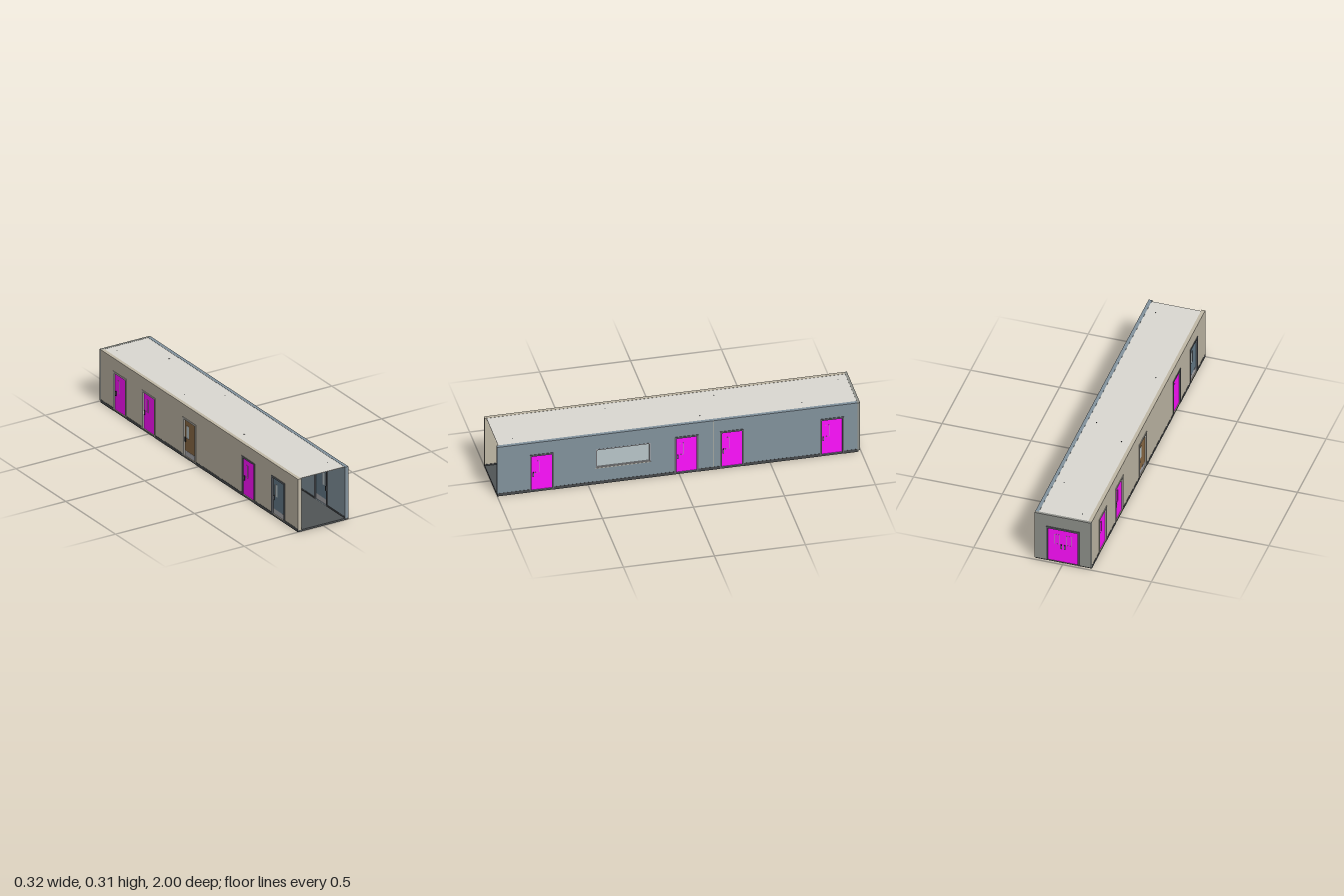
import * as THREE from 'three';

const COLORS = {
  wallBlue: 0x82929c, wallBeige: 0xc0b8a6, wallGrey: 0x8f918b, ceiling: 0xd9d7d1,
  floor: 0x505456, base: 0x46494b, frameDark: 0x606469, framePale: 0xb4b2aa,
  magenta: 0xff10ff, blue: 0x647a88, wood: 0x8a6a45, glass: 0xb9c6c9,
  steel: 0xa9a9ad, black: 0x222426, white: 0xe8e8e4,
};
const materials = {};
function mat(name) {
  materials[name] ??= new THREE.MeshStandardMaterial({ color: COLORS[name] });
  return materials[name];
}

// Box given by its limits along each axis
function box(parent, name, color, x0, x1, y0, y1, z0, z1) {
  const mesh = new THREE.Mesh(new THREE.BoxGeometry(x1 - x0, y1 - y0, z1 - z0), mat(color));
  mesh.position.set((x0 + x1) / 2, (y0 + y1) / 2, (z0 + z1) / 2);
  mesh.name = name;
  parent.add(mesh);
  return mesh;
}

// Four bars around a rectangle; the lower bar is optional
function surround(parent, name, color, x0, x1, y0, y1, t, z0, z1, sill = true) {
  box(parent, name, color, x0 - t, x0, y0, y1, z0, z1);
  box(parent, name, color, x1, x1 + t, y0, y1, z0, z1);
  box(parent, name, color, x0 - t, x1 + t, y1, y1 + t, z0, z1);
  if (sill) box(parent, name, color, x0 - t, x1 + t, y0 - t, y0, z0, z1);
}

// Upright panel with rectangular holes [u0, u1, y0, y1], extruded along +z
function panel(name, color, u0, u1, holes, depth) {
  const rect = (P, a, b, c, d) => {
    const p = new P();
    p.moveTo(a, c); p.lineTo(b, c); p.lineTo(b, d); p.lineTo(a, d); p.closePath();
    return p;
  };
  const shape = rect(THREE.Shape, u0, u1, 0.01, 0.31);
  holes.forEach((h) => shape.holes.push(rect(THREE.Path, ...h)));
  const mesh = new THREE.Mesh(new THREE.ExtrudeGeometry(shape, { depth, bevelEnabled: false }), mat(color));
  mesh.name = name;
  return mesh;
}

// One leaf: outer and inner skins, vision panel, kick plate, handles (outside is +z)
function leaf(parent, x0, x1, outer, inner, side, vision, handleY) {
  box(parent, 'doorLeafOuter', outer, x0, x1, 0.011, 0.225, -0.010, -0.005);
  box(parent, 'doorLeafInner', inner, x0, x1, 0.011, 0.225, -0.015, -0.010);
  const [v0, v1, vy0, vy1] = vision;
  box(parent, 'visionPanelInner', 'glass', v0, v1, vy0, vy1, -0.0155, -0.0145);
  if (outer !== 'magenta') box(parent, 'visionPanelOuter', 'glass', v0, v1, vy0, vy1, -0.0055, -0.0045);
  surround(parent, 'visionBead', 'steel', v0, v1, vy0, vy1, 0.0012, -0.016, -0.004);
  box(parent, 'kickPlateInner', 'steel', x0 + 0.002, x1 - 0.002, 0.012, 0.042, -0.0155, -0.0145);
  if (outer !== 'magenta') box(parent, 'kickPlateOuter', 'steel', x0 + 0.002, x1 - 0.002, 0.012, 0.042, -0.0055, -0.0045);
  const hx = side < 0 ? x0 + 0.009 : x1 - 0.009;
  for (const [a, b] of [[-0.0045, -0.001], [-0.019, -0.0155]]) {
    box(parent, 'handlePlate', 'black', hx - 0.004, hx + 0.004, handleY - 0.014, handleY + 0.014, a, b);
    box(parent, 'handleGrip', 'steel', hx - 0.0012, hx + 0.0012, handleY - 0.009, handleY + 0.009, a - 0.001, b + 0.001);
  }
}

function singleDoor(outer, inner, frame) {
  const g = new THREE.Group();
  g.name = 'door';
  surround(g, 'doorFrame', frame, -0.056, 0.056, 0.01, 0.225, 0.010, -0.022, 0.003, false);
  leaf(g, -0.056, 0.056, outer, inner, -1, [-0.036, -0.014, 0.12, 0.19], 0.108);
  box(g, 'doorCloser', 'steel', 0.0, 0.035, 0.214, 0.222, -0.022, -0.015);
  return g;
}

function doubleDoor() {
  const g = new THREE.Group();
  g.name = 'doubleDoor';
  surround(g, 'doorFrame', 'frameDark', -0.084, 0.084, 0.01, 0.225, 0.010, -0.018, 0.005, false);
  leaf(g, -0.084, -0.0008, 'magenta', 'blue', 1, [-0.046, -0.019, 0.126, 0.187], 0.111);
  leaf(g, 0.0008, 0.084, 'magenta', 'blue', -1, [0.019, 0.046, 0.126, 0.187], 0.111);
  box(g, 'doorCloser', 'frameDark', 0.04, 0.071, 0.231, 0.237, -0.026, -0.018);
  return g;
}

// Side wall with its doors, skirting and outer base strip; s is +1 or -1 along x
function sideWall(s, color, doors, windows) {
  const g = new THREE.Group();
  g.name = s > 0 ? 'leftWall' : 'rightWall';
  const outer = 0.159, z0 = -0.98, z1 = 1;
  const holes = doors.map((d) => [d.z - 0.058, d.z + 0.058, 0.011, 0.227]).concat(windows);
  const wall = panel('wallPanel', color, z0, z1, holes, 0.02);
  wall.rotation.y = -Math.PI / 2;
  wall.position.x = s > 0 ? outer : -outer + 0.02;
  g.add(wall);
  for (const d of doors) {
    const door = singleDoor(d.outer, d.inner, d.frame);
    door.rotation.y = s * Math.PI / 2;
    door.position.set(s * outer, 0, d.z);
    g.add(door);
  }
  // strips run between the doors
  const stops = [z0, ...doors.map((d) => d.z).sort((a, b) => a - b).flatMap((z) => [z - 0.066, z + 0.066]), z1];
  for (let i = 0; i < stops.length; i += 2) {
    const strip = (name, a, b) => box(g, name, 'base', Math.min(s * a, s * b), Math.max(s * a, s * b), 0.0, 0.018, stops[i], stops[i + 1]);
    strip('skirting', outer - 0.022, outer - 0.019);
    strip('baseStrip', outer - 0.001, outer + 0.001);
  }
  return g;
}

export function createModel() {
  const model = new THREE.Group();
  model.name = 'corridor';

  // Floor and ceiling
  box(model, 'floor', 'floor', -0.159, 0.159, 0, 0.01, -0.985, 1);
  box(model, 'ceiling', 'ceiling', -0.139, 0.139, 0.306, 0.309, -0.98, 0.99);
  for (let i = 0; i < 5; i++) {
    const z = -0.8 + i * 0.4;
    box(model, 'ceilingLight', 'white', -0.029, 0.029, 0.304, 0.3065, z - 0.06, z + 0.06);
  }
  // Ceiling detectors
  const spots = [[-0.09, -0.93], [0.09, -0.69], [-0.09, -0.25], [0.09, -0.13], [-0.09, 0.35], [0.09, 0.9]];
  const domeGeo = new THREE.SphereGeometry(0.007, 16, 8, 0, Math.PI * 2, Math.PI / 2, Math.PI / 2);
  const stemGeo = new THREE.CylinderGeometry(0.003, 0.003, 0.004, 12);
  for (const [x, z] of spots) {
    const dome = new THREE.Mesh(domeGeo, mat('black'));
    dome.name = 'detectorDome';
    dome.position.set(x, 0.307, z);
    const stem = new THREE.Mesh(stemGeo, mat('black'));
    stem.name = 'detectorStem';
    stem.position.set(x, 0.308, z);
    model.add(dome, stem);
  }

  // Side walls
  const plain = { outer: 'magenta', inner: 'blue', frame: 'frameDark' };
  const pale = { outer: 'magenta', inner: 'wood', frame: 'framePale' };
  model.add(sideWall(1, 'wallBlue', [0.755, -0.04, -0.29, -0.84].map((z) => ({ z, ...plain })), [[0.16, 0.455, 0.103, 0.218]]));
  model.add(sideWall(-1, 'wallBeige', [
    { z: -0.79, ...pale }, { z: -0.5, ...pale },
    { z: -0.09, outer: 'wood', inner: 'wood', frame: 'framePale' },
    { z: 0.5, ...plain },
    { z: 0.8, outer: 'blue', inner: 'blue', frame: 'frameDark' },
  ], []));
  box(model, 'wallJoint', 'wallBeige', 0.158, 0.1595, 0.018, 0.31, -0.192, -0.188);

  // Window in the left wall
  box(model, 'windowGlass', 'glass', 0.147, 0.151, 0.103, 0.218, 0.16, 0.455);
  const frame = new THREE.Group();
  frame.name = 'windowFrame';
  surround(frame, 'windowFrameBar', 'steel', -0.1435, 0.1435, 0.107, 0.214, 0.005, -0.021, 0.001);
  box(frame, 'windowSill', 'framePale', -0.152, 0.152, 0.099, 0.104, -0.024, 0.003);
  frame.rotation.y = Math.PI / 2;
  frame.position.set(0.159, 0, 0.3075);
  model.add(frame);

  // Back wall with double door
  const back = panel('backWall', 'wallGrey', -0.159, 0.159, [[-0.086, 0.086, 0.011, 0.227]], 0.015);
  back.position.z = -0.995;
  model.add(back);
  const doors = doubleDoor();
  doors.rotation.y = Math.PI;
  doors.position.z = -0.995;
  model.add(doors);
  for (const s of [-1, 1]) {
    const [a, b] = s < 0 ? [-0.139, -0.094] : [0.094, 0.139];
    box(model, 'backSkirting', 'base', a, b, 0.01, 0.02, -0.981, -0.977);
  }

  // Wall fittings
  box(model, 'controlPanel', 'steel', -0.128, -0.114, 0.14, 0.16, -0.981, -0.973);
  box(model, 'controlButton', 'black', -0.123, -0.119, 0.15, 0.154, -0.974, -0.972);
  box(model, 'wallSwitch', 'black', 0.115, 0.121, 0.116, 0.125, -0.981, -0.975);
  box(model, 'wallLamp', 'white', -0.14, -0.133, 0.215, 0.25, 0.63, 0.65);
  box(model, 'callBox', 'white', -0.14, -0.132, 0.12, 0.14, 0.9, 0.92);
  box(model, 'wallSwitch', 'black', -0.14, -0.136, 0.15, 0.165, 0.68, 0.69);
  box(model, 'wallSensor', 'black', 0.13, 0.14, 0.232, 0.238, 0.62, 0.63);
  return model;
}
